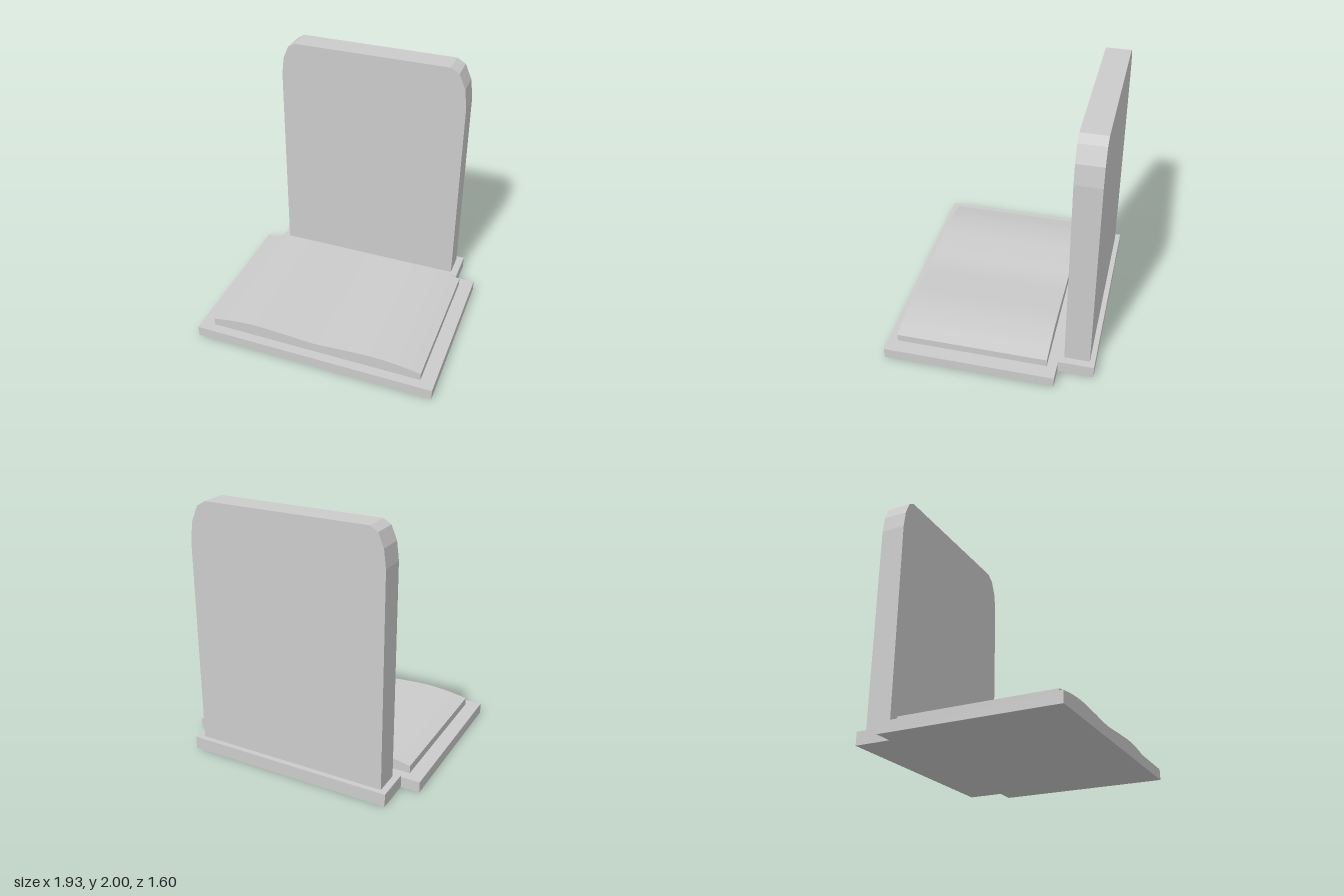
import * as THREE from 'three';
import { toCreasedNormals } from 'three/addons/utils/BufferGeometryUtils.js';

const material = new THREE.MeshStandardMaterial({ color: 0xcccccc });

export function createModel() {
  const group = new THREE.Group();

  const add = (name, geometry) => {
    const mesh = new THREE.Mesh(geometry, material);
    mesh.name = name;
    group.add(mesh);
  };

  // Box given by its limits on each axis
  const block = (name, x0, x1, y0, y1, z0, z1) => {
    const geometry = new THREE.BoxGeometry(x1 - x0, y1 - y0, z1 - z0);
    geometry.translate((x0 + x1) / 2, (y0 + y1) / 2, (z0 + z1) / 2);
    add(name, geometry);
  };

  // Front outline extruded from z0 to z1
  const extrude = (shape, z0, z1) =>
    new THREE.ExtrudeGeometry(shape, { depth: z1 - z0, bevelEnabled: false, curveSegments: 24 })
      .translate(0, 0, z0);

  // Ground plinths
  block('ledgerSlab', -0.965, 0.965, 0, 0.085, -0.525, 0.8);
  block('headstoneBase', -0.82, 0.81, 0, 0.1, -0.8, -0.525);

  // Upright stone with faceted, slightly uneven upper corners
  const outline = [
    [-0.77, 0.1], [0.753, 0.1],
    [0.753, 1.69], [0.733, 1.84], [0.68, 1.96], [0.61, 2],
    [-0.65, 2], [-0.708, 1.965], [-0.75, 1.865], [-0.767, 1.73],
  ].map(([x, y]) => new THREE.Vector2(x, y));
  add('headstone', extrude(new THREE.Shape(outline), -0.76, -0.565));

  // Open book: two gently swelling pages meeting in a shallow valley
  const pages = [
    [0.855, 0.145], [0.68, 0.175], [0.48, 0.188], [0.25, 0.178], [0, 0.164],
    [-0.25, 0.178], [-0.48, 0.188], [-0.68, 0.175], [-0.855, 0.145],
  ].map(([x, y]) => new THREE.Vector2(x, y));
  const book = new THREE.Shape();
  book.moveTo(-0.855, 0.085);
  book.lineTo(0.855, 0.085);
  book.lineTo(0.855, 0.145);
  book.splineThru(pages.slice(1));
  book.closePath();
  add('openBook', toCreasedNormals(extrude(book, -0.45, 0.725), 0.4));

  return group;
}
